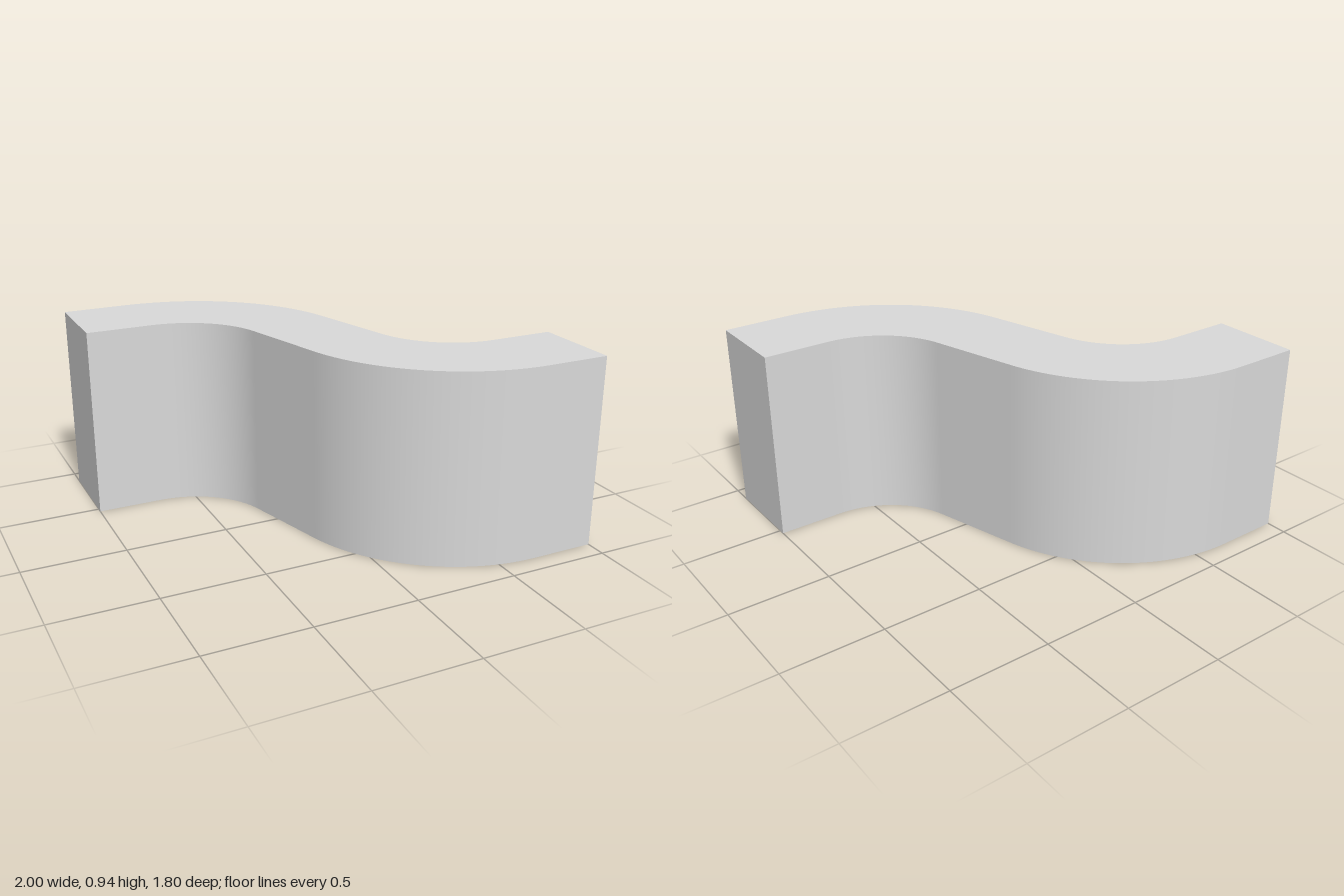
import * as THREE from 'three';
import { toCreasedNormals } from 'three/addons/utils/BufferGeometryUtils.js';

const HEIGHT = 0.94;
const BEND_X = 0.68, BEND_Y = 0.04;   // bend centres, mirrored through the origin
const INNER = 0.43, OUTER = 0.86;     // bend radii
const END = THREE.MathUtils.degToRad(15); // each bend turns 75 degrees

// S-shaped plan: two straight ends joined by two opposite bends
function planOutline() {
  const top = Math.PI / 2;
  const s = new THREE.Shape();
  s.moveTo(-1, BEND_Y + INNER);
  s.lineTo(-1, BEND_Y + OUTER);
  s.absarc(-BEND_X, BEND_Y, OUTER, top, END, true);
  s.absarc(BEND_X, -BEND_Y, INNER, Math.PI + END, Math.PI + top, false);
  s.lineTo(1, -BEND_Y - INNER);
  s.lineTo(1, -BEND_Y - OUTER);
  s.absarc(BEND_X, -BEND_Y, OUTER, Math.PI + top, Math.PI + END, true);
  s.absarc(-BEND_X, BEND_Y, INNER, END, top, false);
  s.closePath();
  return s;
}

export function createModel() {
  const group = new THREE.Group();
  group.name = 'curvedBlock';

  const grey = new THREE.MeshStandardMaterial({ color: 0xd9d9d9 });
  grey.name = 'light grey';

  // Extrude the plan upward, smooth bends and crisp edges
  const extruded = new THREE.ExtrudeGeometry(planOutline(), {
    depth: HEIGHT, bevelEnabled: false, curveSegments: 20,
  });
  extruded.rotateX(-Math.PI / 2);
  const body = new THREE.Mesh(toCreasedNormals(extruded, Math.PI / 6), grey);
  body.name = 'sBendBody';
  group.add(body);
  return group;
}
